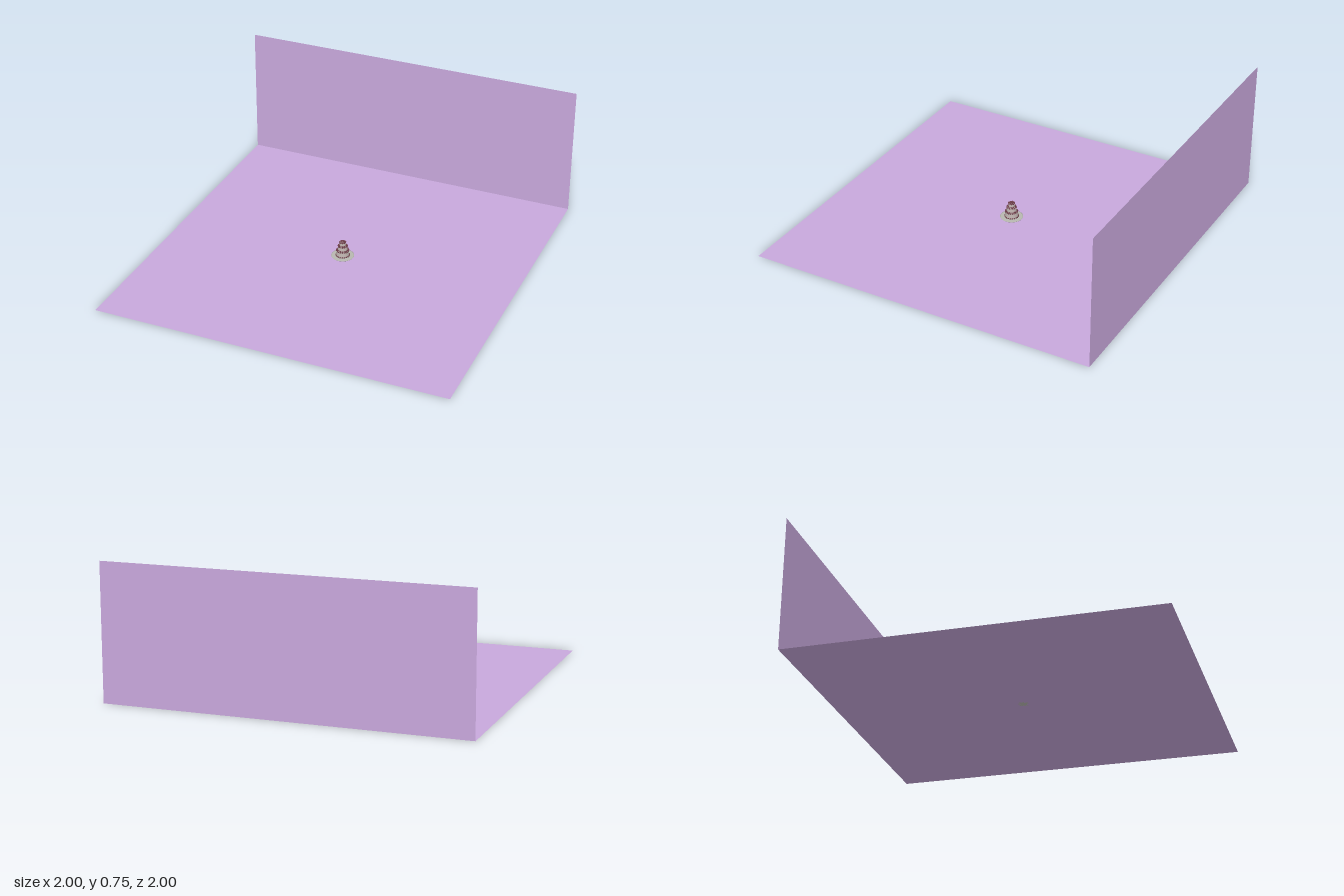
import * as THREE from 'three';

const material = (color, extra = {}) => new THREE.MeshStandardMaterial({ color, ...extra });

export function createModel() {
  const group = new THREE.Group();
  const add = (name, geometry, mat, x = 0, y = 0, z = 0, parent = group) => {
    const mesh = new THREE.Mesh(geometry, mat);
    mesh.name = name;
    mesh.position.set(x, y, z);
    parent.add(mesh);
    return mesh;
  };

  // Backdrop: thin floor and back wall
  const lilac = material(0xc8a8dc, { side: THREE.DoubleSide });
  add('floor', new THREE.PlaneGeometry(2, 2).rotateX(-Math.PI / 2), lilac);
  add('backWall', new THREE.PlaneGeometry(2, 0.75), lilac, 0, 0.375, -1);

  // Plate with a short foot
  const grey = material(0xb8b8b0);
  const plateProfile = [[0, 0], [0.03, 0], [0.03, 0.009], [0.062, 0.011], [0.064, 0.014], [0.06, 0.0145], [0, 0.0145]]
    .map(([r, y]) => new THREE.Vector2(r, y));
  add('plate', new THREE.LatheGeometry(plateProfile, 48), grey);

  // Tiered cake with a ring of berries around each tier
  const cake = new THREE.Group();
  cake.name = 'cake';
  group.add(cake);
  const sponge = material(0xc4b8b4);
  const berry = material(0x70404c);
  const tiers = [
    { r: 0.037, y: 0.0145, h: 0.033, n: 20 },
    { r: 0.028, y: 0.0475, h: 0.028, n: 16 },
    { r: 0.018, y: 0.0755, h: 0.024, n: 11 },
  ];
  const bead = new THREE.SphereGeometry(0.0042, 10, 8);
  const ring = (name, r, y, n) => {
    for (let i = 0; i < n; i++) {
      const a = (i / n) * Math.PI * 2;
      add(name, bead, berry, Math.cos(a) * r, y, Math.sin(a) * r, cake);
    }
  };
  for (const { r, y, h, n } of tiers) {
    add('cakeTier', new THREE.CylinderGeometry(r * 0.95, r, h, 32), sponge, 0, y + h / 2, 0, cake);
    ring('baseBerry', r, y + 0.004, n);
    ring('rimBerry', r * 0.9, y + h, n);
  }

  // Berries on the top
  ring('topBerry', 0.008, 0.102, 6);
  add('topBerry', bead, berry, 0, 0.105, 0, cake);
  return group;
}
